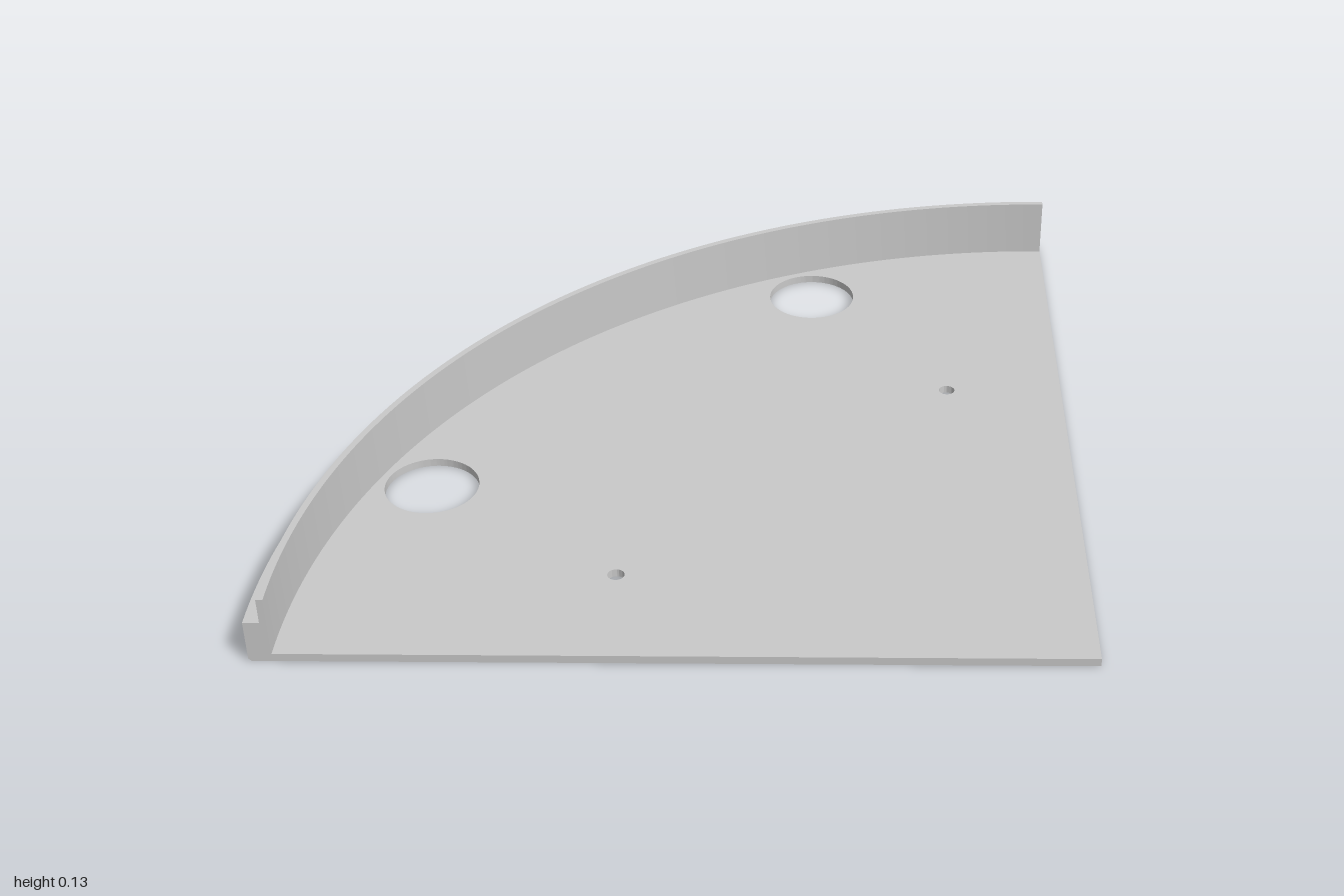
import * as THREE from 'three';
import { toCreasedNormals } from 'three/addons/utils/BufferGeometryUtils.js';

const APEX_Z = 0.707;   // centre of the quarter circle
const INNER = 1.374;    // inside face of the curved rim
const LIP = 1.386;      // outside face of the thin upper lip
const OUTER = 1.414;    // outside face of the lower rim
const SEGMENTS = 96;

export function createModel() {
  const model = new THREE.Group();
  const grey = new THREE.MeshStandardMaterial({ color: 0xc9c9c9 });
  grey.name = 'light grey';

  const add = (name, geometry, parent) => {
    const mesh = new THREE.Mesh(geometry, grey);
    mesh.name = name;
    parent.add(mesh);
  };

  // Quarter-circle floor with two large and two small round holes
  const sector = new THREE.Shape();
  const corner = INNER * Math.SQRT1_2;
  sector.moveTo(0, -APEX_Z);
  sector.lineTo(corner, corner - APEX_Z);
  sector.absarc(0, -APEX_Z, INNER, Math.PI / 4, Math.PI * 3 / 4, false);
  sector.lineTo(0, -APEX_Z);
  for (const side of [-1, 1]) {
    for (const [x, y, r] of [[0.488, 0.47, 0.086], [0.423, 0.03, 0.015]]) {
      const hole = new THREE.Path();
      hole.absarc(side * x, y, r, 0, Math.PI * 2, true);
      sector.holes.push(hole);
    }
  }
  const floor = new THREE.ExtrudeGeometry(sector, {
    depth: 0.015, bevelEnabled: false, curveSegments: SEGMENTS,
  });
  floor.rotateX(-Math.PI / 2);
  add('floor', toCreasedNormals(floor, 0.5), model);

  // Stepped rim, swept along the arc, with a slightly eased bottom edge
  const rim = new THREE.Group();
  rim.name = 'rim';
  rim.position.z = APEX_Z;
  model.add(rim);
  const profile = [
    [INNER, 0], [OUTER - 0.005, 0], [OUTER, 0.005], [OUTER, 0.08],
    [LIP, 0.08], [LIP, 0.128], [INNER, 0.128],
  ].map(([r, y]) => new THREE.Vector2(r, y));
  const start = Math.PI * 3 / 4;
  const sweep = new THREE.LatheGeometry([...profile, profile[0].clone()], SEGMENTS, start, Math.PI / 2);
  add('rimWall', toCreasedNormals(sweep, 0.5), rim);

  // Flat faces closing both ends of the rim
  const startCap = new THREE.ShapeGeometry(new THREE.Shape(profile));
  startCap.rotateY(start - Math.PI / 2);
  add('leftRimEnd', startCap, rim);

  const mirrored = profile.map((p) => new THREE.Vector2(-p.x, p.y));
  const endCap = new THREE.ShapeGeometry(new THREE.Shape(mirrored));
  endCap.rotateY(start + Math.PI);
  add('rightRimEnd', endCap, rim);

  return model;
}
